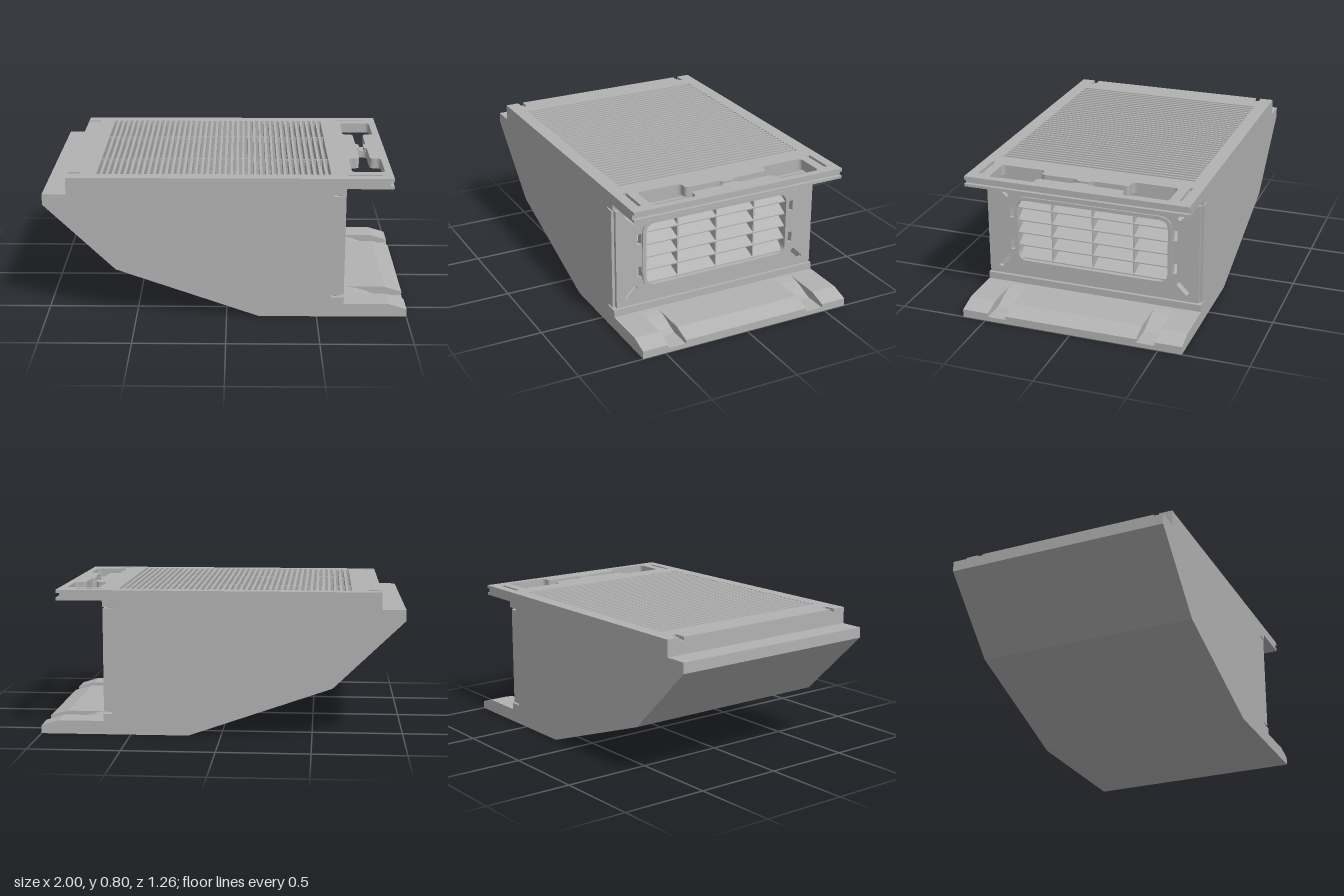
import * as THREE from 'three';

const W = 0.632; // half width along z
const INNER = 0.612; // inner face of the side walls

// closed outline through points, corners rounded by r
function outline(pts, r = 0, Type = THREE.Shape) {
  const s = new Type();
  const v = pts.map(p => new THREE.Vector2(p[0], p[1]));
  if (!r) return s.setFromPoints(v), s.closePath(), s;
  v.forEach((p, i) => {
    const prev = v[(i + v.length - 1) % v.length], next = v[(i + 1) % v.length];
    const toward = q => p.clone().add(q.clone().sub(p).setLength(Math.min(r, p.distanceTo(q) / 2)));
    const a = toward(prev), b = toward(next);
    if (i === 0) s.moveTo(a.x, a.y); else s.lineTo(a.x, a.y);
    s.quadraticCurveTo(p.x, p.y, b.x, b.y);
  });
  s.closePath();
  return s;
}
const rect = (x0, y0, x1, y1) => [[x0, y0], [x1, y0], [x1, y1], [x0, y1]];
const hole = (pts, r = 0) => outline(pts, r, THREE.Path);

function extrude(shape, depth) {
  return new THREE.ExtrudeGeometry(shape, { depth, bevelEnabled: false, curveSegments: 6 });
}

export function createModel() {
  const group = new THREE.Group();
  const grey = new THREE.MeshStandardMaterial({ color: 0xb2b2b2, side: THREE.DoubleSide });
  grey.name = 'plain grey';

  function add(name, geo, x = 0, y = 0, z = 0) {
    const m = new THREE.Mesh(geo, grey);
    m.name = name;
    m.position.set(x, y, z);
    group.add(m);
    return m;
  }
  const box = (name, x0, x1, y0, y1, z0, z1) =>
    add(name, new THREE.BoxGeometry(x1 - x0, y1 - y0, z1 - z0), (x0 + x1) / 2, (y0 + y1) / 2, (z0 + z1) / 2);

  // side walls with thin slits above and below the vent panel
  const side = outline([
    [-0.87, 0.745], [-0.87, 0.71], [-1, 0.71], [-1, 0.65], [-0.61, 0.275], [0.18, 0], [0.65, 0],
    [0.65, 0.115], [0.58, 0.115], [0.58, 0.125], [0.63, 0.125], [0.63, 0.7], [0.58, 0.7],
    [0.58, 0.71], [0.65, 0.71], [0.65, 0.745],
  ]);
  add('leftSideWall', extrude(side, W - INNER), 0, 0, -W);
  add('rightSideWall', extrude(side, W - INNER), 0, 0, INNER);

  // sloping floor and back ledge
  const floor = outline([
    [-0.87, 0.745], [-0.87, 0.71], [-1, 0.71], [-1, 0.65], [-0.61, 0.275], [0.18, 0], [0.65, 0],
    [0.65, 0.115], [0.61, 0.115], [0.61, 0.04], [0.19, 0.04], [-0.59, 0.31], [-0.83, 0.55], [-0.83, 0.745],
  ]);
  add('floor', extrude(floor, 2 * INNER), 0, 0, -INNER);
  box('lintel', 0.61, 0.65, 0.71, 0.745, -INNER, INNER);

  // bottom lip, with two scooped channels
  const lip = outline([[0.65, 0], [1, 0], [1, 0.045], [0.9, 0.075], [0.65, 0.075]]);
  const scoop = outline([[0.65, 0], [1, 0], [1, 0.025], [0.87, 0.025], [0.83, 0.036], [0.78, 0.055],
    [0.73, 0.069], [0.68, 0.075], [0.65, 0.075]]);
  const cuts = [-W, -0.482, -0.378, 0.378, 0.482, W];
  for (let i = 0; i < 5; i++) {
    const scooped = i % 2 === 1;
    add(scooped ? 'scoopedLip' : 'bottomLip', extrude(scooped ? scoop : lip, cuts[i + 1] - cuts[i]), 0, 0, cuts[i]);
  }

  // top cover in three layers: the middle one is shorter and leaves an edge groove
  const halfPocket = s => [[0.685, 0.505 * s], [0.865, 0.505 * s], [0.865, 0.25 * s], [0.805, 0.25 * s],
    [0.805, 0.04 * s], [0.745, 0.04 * s], [0.745, 0.25 * s], [0.685, 0.25 * s]];
  const joined = [
    [0.685, 0.505], [0.865, 0.505], [0.865, 0.25], [0.805, 0.25], [0.805, 0.04], [0.788, 0.04],
    [0.788, -0.04], [0.805, -0.04], [0.805, -0.25], [0.865, -0.25], [0.865, -0.505], [0.685, -0.505],
    [0.685, -0.25], [0.745, -0.25], [0.745, -0.04], [0.764, -0.04], [0.764, 0.04], [0.745, 0.04],
    [0.745, 0.25], [0.685, 0.25],
  ];
  const notched = [
    [-0.87, -W], [0.905, -W], [0.905, W], [-0.87, W], [-0.87, 0.555], [-0.8, 0.555], [-0.8, 0.525],
    [-0.87, 0.525], [-0.87, -0.525], [-0.8, -0.525], [-0.8, -0.555], [-0.87, -0.555],
  ];
  const layers = [
    ['coverBottom', 0.745, 0.015, rect(-0.87, -W, 0.905, W)],
    ['coverMiddle', 0.76, 0.025, rect(-0.87, -W, 0.885, W)],
    ['coverTop', 0.785, 0.018, notched],
  ];
  const slots = 40, pitch = 1.29 / slots;
  layers.forEach(([name, y, h, pts], n) => {
    const s = outline(pts);
    for (let i = 0; i < slots; i++) {
      const x = -0.715 + i * pitch + 0.007;
      s.holes.push(hole(rect(x, -0.556, x + 0.018, 0.556)));
    }
    if (n === 2) {
      s.holes.push(hole(joined, 0.025));
      for (const z of [-0.568, 0.568]) s.holes.push(hole(rect(0.66, z - 0.01, 0.84, z + 0.01)));
    } else {
      s.holes.push(hole(halfPocket(1), 0.025), hole(halfPocket(-1), 0.025));
    }
    add(name, extrude(s, h).rotateX(-Math.PI / 2), 0, y, 0);
  });
  for (const z of [-0.23, 0.23]) box('grilleRib', -0.71, 0.57, 0.747, 0.792, z - 0.004, z + 0.004);

  // vent panel with its opening, corner slots and clip holes
  const panel = outline(rect(-0.616, 0.125, 0.616, 0.7));
  panel.holes.push(hole(rect(-0.45, 0.215, 0.45, 0.605), 0.06));
  for (const sx of [-1, 1]) {
    for (const sy of [-1, 1]) {
      const d = 0.7071, cx = 0.527 * sx, cy = 0.418 + 0.219 * sy;
      const pts = [[-0.045, -0.013], [0.045, -0.013], [0.045, 0.013], [-0.045, 0.013]].map(
        ([a, b]) => [cx + sx * d * (a - b), cy + sy * d * (a + b)]);
      panel.holes.push(hole(pts, 0.012));
    }
    for (const y of [0.282, 0.478]) {
      panel.holes.push(hole(rect(Math.min(0.464 * sx, 0.49 * sx), y, Math.max(0.464 * sx, 0.49 * sx), y + 0.062)));
    }
  }
  add('ventPanel', extrude(panel, 0.02).rotateY(Math.PI / 2), 0.63, 0, 0);

  // raised rim of the vent
  const rim = outline(rect(-0.46, 0.205, 0.46, 0.615), 0.075);
  rim.holes.push(hole(rect(-0.44, 0.226, 0.44, 0.594), 0.055));
  add('ventRim', extrude(rim, 0.06).rotateY(Math.PI / 2), 0.6, 0, 0);

  // slats rising inward
  for (const y of [0.235, 0.313, 0.389, 0.465, 0.541]) {
    const slat = outline([[0.645, y - 0.003], [0.645, y + 0.003], [0.545, y + 0.063], [0.545, y + 0.057]]);
    add('ventSlat', extrude(slat, 0.88), 0, 0, -0.44);
  }
  // upright fins, thicker toward the inside
  for (const z of [-0.24, 0, 0.24]) {
    const fin = outline([[0.64, -0.004], [0.64, 0.004], [0.54, 0.018], [0.54, -0.018]]);
    add('ventFin', extrude(fin, 0.37).rotateX(-Math.PI / 2), 0, 0.225, z);
  }
  return group;
}
